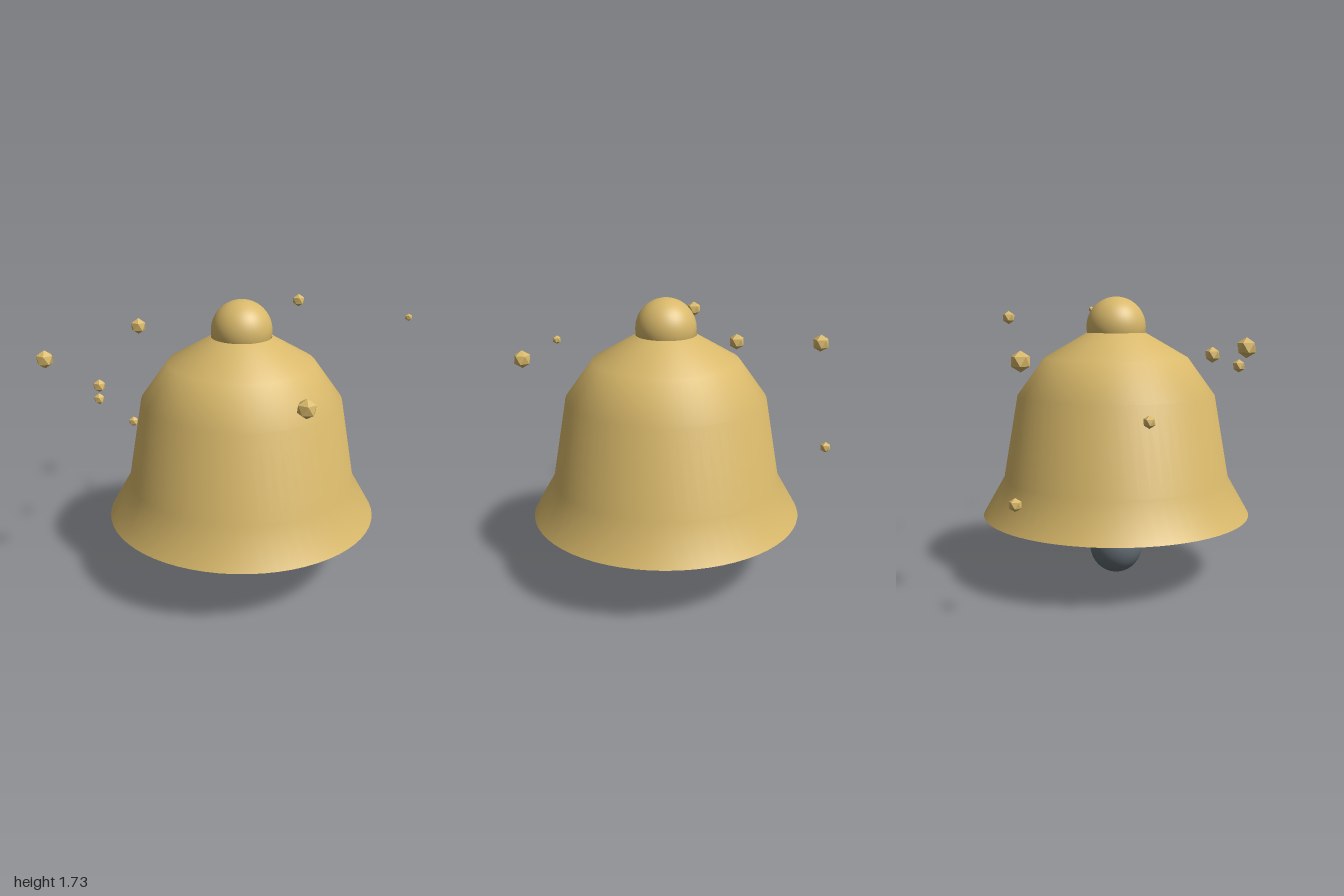
import * as THREE from 'three';

export function createModel() {
  const group = new THREE.Group();
  const gold = new THREE.MeshStandardMaterial({ color: 0xd8b86a, side: THREE.DoubleSide });
  gold.name = 'gold';
  const goldFlat = new THREE.MeshStandardMaterial({ color: 0xd8b86a, flatShading: true });
  goldFlat.name = 'faceted gold';
  const iron = new THREE.MeshStandardMaterial({ color: 0x626c73 });
  iron.name = 'iron';

  const add = (name, geometry, material, x, y, z) => {
    const mesh = new THREE.Mesh(geometry, material);
    mesh.name = name;
    mesh.position.set(x, y, z);
    group.add(mesh);
    return mesh;
  };
  const axisX = 0.03;

  // Open bell shell, rim to crown
  const profile = [[0.825, 0.4], [0.695, 0.628], [0.605, 1.135], [0.44, 1.362], [0.18, 1.512]]
    .map(([r, y]) => new THREE.Vector2(r, y));
  add('bellShell', new THREE.LatheGeometry(profile, 64), gold, axisX, 0, 0);

  // Round knob on the crown
  add('topKnob', new THREE.SphereGeometry(0.181, 48, 32), gold, axisX, 1.548, 0);

  // Slightly tall clapper ball below the rim
  add('clapper', new THREE.SphereGeometry(0.165, 48, 32), iron, axisX, 0.177, 0)
    .scale.y = 1.055;

  // Floating sparks: x, y, z, radius; one corner of each points straight up
  const spark = new THREE.IcosahedronGeometry(1, 0).rotateZ(-0.5536);
  [
    [-0.955, 1.46, 0.565, 0.052],
    [-0.83, 1.39, -0.553, 0.055],
    [-0.617, 1.348, 0.61, 0.036],
    [-0.858, 1.08, 0.095, 0.035],
    [-0.915, 0.675, -0.59, 0.036],
    [0.25, 1.602, -0.66, 0.041],
    [0.54, 1.348, 0.705, 0.055],
    [0.977, 1.657, -0.1, 0.021],
  ].forEach(([x, y, z, r], i) => {
    add('spark' + (i + 1), spark, goldFlat, x, y, z).scale.setScalar(r);
  });

  return group;
}
